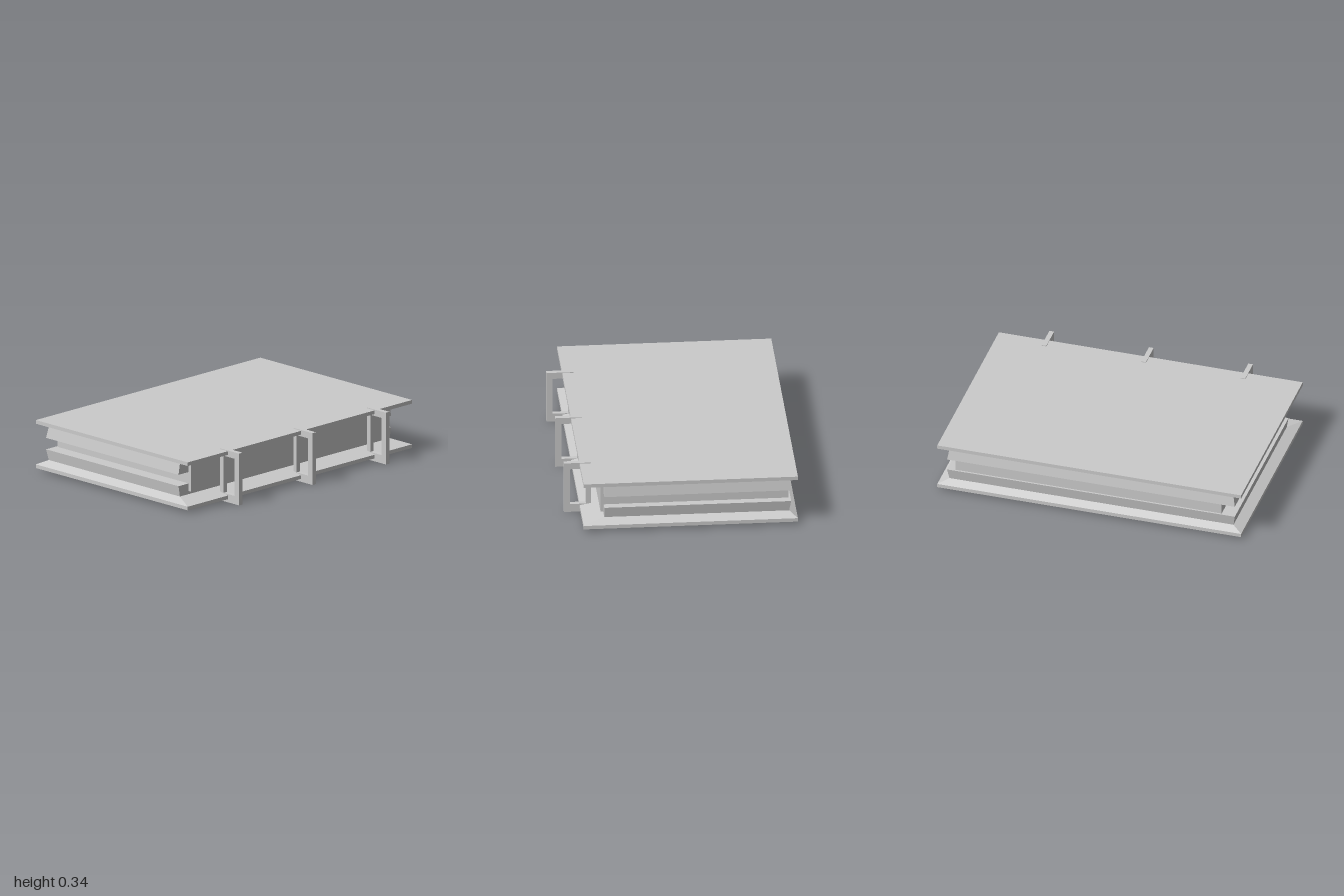
import * as THREE from 'three';

const material = new THREE.MeshStandardMaterial({ color: 0xcccccc, flatShading: true });
const MID_Y = 0.1775;

function add(parent, name, geometry) {
  const mesh = new THREE.Mesh(geometry, material);
  mesh.name = name;
  parent.add(mesh);
  return mesh;
}

// Box given by its minimum and maximum corners
function boxBetween([x0, y0, z0], [x1, y1, z1]) {
  return new THREE.BoxGeometry(x1 - x0, y1 - y0, z1 - z0)
    .translate((x0 + x1) / 2, (y0 + y1) / 2, (z0 + z1) / 2);
}

// Tapered slab between a lower and an upper rectangle { y, x0, x1, z }
function taperedSlab(lower, upper) {
  const geometry = new THREE.BoxGeometry(1, 1, 1);
  const p = geometry.attributes.position;
  for (let i = 0; i < p.count; i++) {
    const r = p.getY(i) > 0 ? upper : lower;
    p.setXYZ(i, p.getX(i) > 0 ? r.x1 : r.x0, r.y, p.getZ(i) > 0 ? r.z : -r.z);
  }
  geometry.computeVertexNormals();
  return geometry;
}

export function createModel() {
  const model = new THREE.Group();
  model.name = 'claspedCase';

  // Bottom half outline, from the outer face inwards; the top half mirrors it
  const rings = [
    { y: 0.02, x0: -0.73, x1: 0.625, z: 1 },
    { y: 0.044, x0: -0.73, x1: 0.625, z: 1 },
    { y: 0.07, x0: -0.68, x1: 0.49, z: 0.935 },
    { y: 0.14, x0: -0.692, x1: 0.49, z: 0.947 },
  ];
  const names = ['Cover', 'Bevel', 'Rim'];
  names.forEach((name, i) => {
    const [a, b] = [rings[i], rings[i + 1]];
    const flip = (r) => ({ ...r, y: 2 * MID_Y - r.y });
    add(model, 'bottom' + name, taperedSlab(a, b));
    add(model, 'top' + name, taperedSlab(flip(b), flip(a)));
  });

  // Inner block, showing between the rims and along the clasp side
  add(model, 'innerBlock', boxBetween([-0.68, 0.09, -0.895], [0.51, 0.286, 0.857]));

  // Clasps: flat rectangular frames gripping the cover edges
  const frame = new THREE.Shape([[0.555, 0], [0.725, 0], [0.725, 0.34], [0.555, 0.34]]
    .map(([x, y]) => new THREE.Vector2(x, y)));
  frame.holes.push(new THREE.Path([[0.585, 0.054], [0.585, 0.298], [0.686, 0.298], [0.686, 0.054]]
    .map(([x, y]) => new THREE.Vector2(x, y))));
  const depth = 0.031;
  const claspGeometry = new THREE.ExtrudeGeometry(frame, { depth, bevelEnabled: false })
    .translate(0, 0, -depth / 2);
  [0.627, -0.027, -0.682].forEach((z, i) => {
    add(model, 'clasp' + (i + 1), claspGeometry).position.z = z;
  });

  return model;
}
